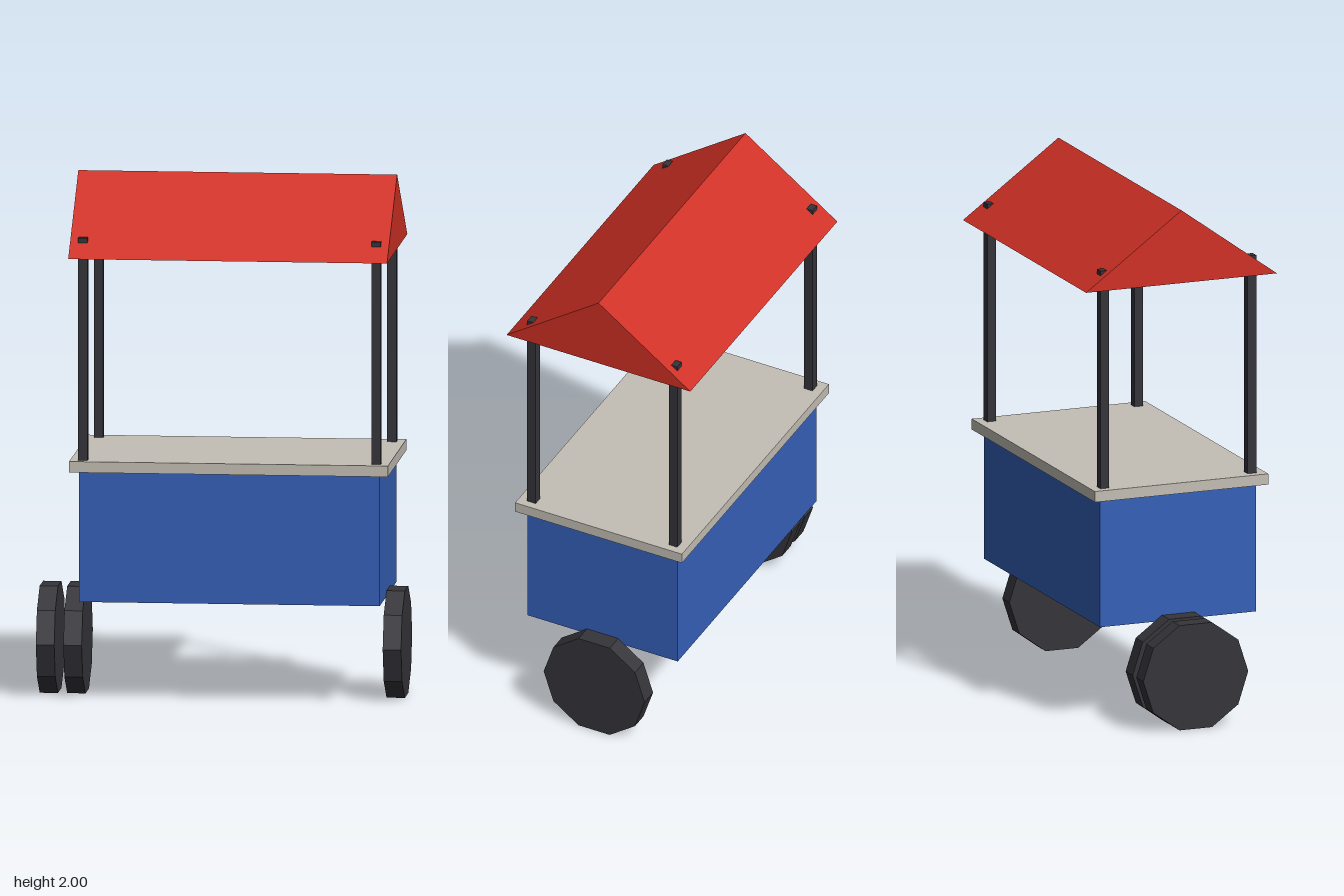
import * as THREE from 'three';

export function createModel() {
  const cart = new THREE.Group();
  cart.name = 'marketCart';

  const flat = (name, color) => {
    const m = new THREE.MeshStandardMaterial({ color, flatShading: true });
    m.name = name;
    return m;
  };
  const red = flat('red', 0xd13025);
  const blue = flat('blue', 0x3560b8);
  const stone = flat('stone', 0xc4bfb5);
  const dark = flat('charcoal', 0x35343a);

  const add = (name, geometry, material, x, y, z) => {
    const mesh = new THREE.Mesh(geometry, material);
    mesh.name = name;
    mesh.position.set(x, y, z);
    cart.add(mesh);
    return mesh;
  };

  const midX = 0.051; // the stall sits off centre because of the doubled wheel

  // Stall body and counter
  add('body', new THREE.BoxGeometry(1.148, 0.502, 0.642), blue, midX, 0.639, 0);
  add('counter', new THREE.BoxGeometry(1.218, 0.042, 0.714), stone, midX, 0.911, 0);

  // Four posts, their tops poking slightly through the roof
  const postGeometry = new THREE.BoxGeometry(0.036, 0.855, 0.036);
  for (const sx of [-1, 1]) {
    for (const sz of [-1, 1]) {
      const name = (sz > 0 ? 'front' : 'back') + (sx > 0 ? 'Left' : 'Right') + 'Post';
      add(name, postGeometry, dark, midX + sx * 0.56, 1.3585, sz * 0.303);
    }
  }

  // Solid gabled roof: triangular section extruded along x
  const gable = new THREE.Shape([
    new THREE.Vector2(-0.393, 1.715),
    new THREE.Vector2(0.393, 1.715),
    new THREE.Vector2(0, 2),
  ]);
  const roofLength = 1.218;
  const roofGeometry = new THREE.ExtrudeGeometry(gable, { depth: roofLength, bevelEnabled: false });
  roofGeometry.translate(0, 0, -roofLength / 2);
  roofGeometry.rotateY(Math.PI / 2);
  add('roof', roofGeometry, red, midX, 0, 0);

  // Ten-sided wheels: a pair on the right, one on the left
  const wheelGeometry = new THREE.CylinderGeometry(0.216, 0.216, 0.07, 10);
  wheelGeometry.rotateZ(Math.PI / 2);
  const wheels = { rightOuterWheel: -0.664, rightInnerWheel: -0.559, leftWheel: 0.661 };
  for (const [name, x] of Object.entries(wheels)) {
    add(name, wheelGeometry, dark, x, 0.2055, 0);
  }

  return cart;
}
